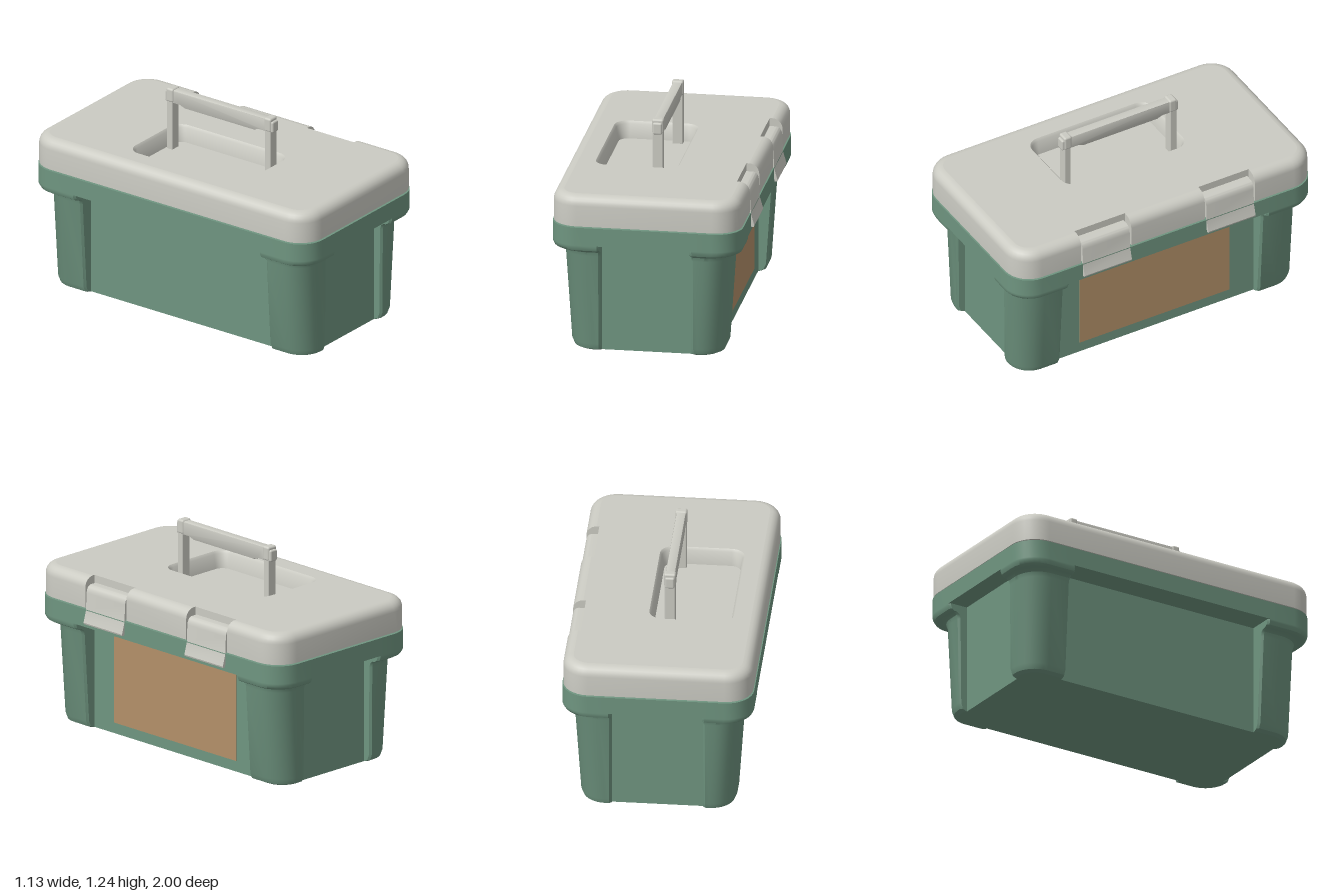
import * as THREE from 'three';
import { mergeGeometries, toCreasedNormals } from 'three/addons/utils/BufferGeometryUtils.js';
import { RoundedBoxGeometry } from 'three/addons/geometries/RoundedBoxGeometry.js';

const CX = -0.01; // centre line of the box without its latches

// Corner arc of a rounded rectangle, from the x side to the z side
function arc(hx, hz, r, n = 8) {
  return Array.from({ length: n + 1 }, (_, i) => {
    const a = (i / n) * Math.PI / 2;
    return [hx - r + r * Math.cos(a), hz - r + r * Math.sin(a)];
  });
}

// Mirror one quarter outline into a closed ring
function mirrorQuarter(q, cx) {
  const put = (sx, sz) => q.map(([x, z]) => [cx + sx * x, sz * z]);
  return [...put(1, 1), ...put(-1, 1).reverse(), ...put(-1, -1), ...put(1, -1).reverse()];
}

// Skin through rings of equal point count, each { y, pts }
function loft(rings) {
  const pos = [];
  for (let k = 0; k < rings.length - 1; k++) {
    const a = rings[k], b = rings[k + 1], n = a.pts.length;
    const at = (ring, i) => [ring.pts[i % n][0], ring.y, ring.pts[i % n][1]];
    for (let i = 0; i < n; i++) {
      const p = at(a, i), q = at(a, i + 1), r = at(b, i + 1), s = at(b, i);
      pos.push(...p, ...s, ...r, ...p, ...r, ...q);
    }
  }
  const g = new THREE.BufferGeometry();
  g.setAttribute('position', new THREE.Float32BufferAttribute(pos, 3));
  return toCreasedNormals(g, 0.6);
}

// Flat horizontal face, optionally with a hole
function cap({ y, pts }, up, hole) {
  const flat = (list) => list.map(([x, z]) => new THREE.Vector2(x, up ? -z : z));
  const shape = new THREE.Shape(flat(pts));
  if (hole) shape.holes.push(new THREE.Path(flat(hole)));
  const g = new THREE.ShapeGeometry(shape).toNonIndexed();
  g.deleteAttribute('uv');
  return g.rotateX(up ? -Math.PI / 2 : Math.PI / 2).translate(0, y, 0);
}

// Tub: corner pillars around four upright sunken panels, flaring into a rim
function bodyGeometry() {
  const ring = ([y, hx, hz, r, recessed = true]) => {
    const px = recessed ? 0.395 : hx, pz = recessed ? 0.88 : hz;
    const bx = Math.min(0.012, hx - px), bz = Math.min(0.012, hz - pz);
    return {
      y,
      pts: mirrorQuarter([
        [px, 0.66], [hx - bx, 0.66], [hx, 0.672],
        ...arc(hx, hz, r),
        [0.277, hz], [0.265, hz - bz], [0.265, pz],
      ], CX),
    };
  };
  const rings = [
    [0, 0.413, 0.893, 0.11], [0.012, 0.438, 0.918, 0.135], [0.045, 0.452, 0.93, 0.15],
    [0.58, 0.488, 0.935, 0.15], [0.605, 0.495, 0.942, 0.15], [0.618, 0.512, 0.958, 0.15],
    [0.62, 0.53, 0.975, 0.15], [0.63, 0.547, 0.992, 0.16], [0.65, 0.555, 1, 0.16],
    [0.662, 0.555, 1, 0.16], [0.662, 0.555, 1, 0.16, false], [0.77, 0.555, 1, 0.16, false],
  ].map(ring);
  return mergeGeometries([loft(rings), cap(rings[0], false), cap(rings.at(-1), true)]);
}

// Lid: rounded top edge, two latch notches on the +x side, sunken handle tray
function lidGeometry() {
  const ring = (y, d) => {
    const hx = 0.55 - d, hz = 0.995 - d, nx = 0.475;
    const corners = mirrorQuarter(arc(hx, hz, 0.155 - d), CX);
    const notch = [[hx, 0.245], [nx, 0.245], [nx, 0.58], [hx, 0.58]].map(([x, z]) => [CX + x, z]);
    return { y, pts: [...notch, ...corners, ...notch.map(([x, z]) => [x, -z]).reverse()] };
  };
  const rings = [ring(0.777, 0)];
  for (let i = 0; i <= 6; i++) {
    const a = (i / 6) * Math.PI / 2;
    rings.push(ring(0.9 + 0.06 * Math.sin(a), 0.06 * (1 - Math.cos(a))));
  }
  const tray = [[0.96, 0], [0.945, 0.012], [0.86, 0.025]].map(([y, d]) => ({
    y, pts: mirrorQuarter(arc(0.245 - d, 0.405 - d, 0.08 - d), -0.155),
  }));
  return mergeGeometries([
    loft(rings), cap(rings[0], false), cap(rings.at(-1), true, tray[0].pts),
    loft(tray), cap(tray[2], true),
  ]);
}

// Latch: curved plate hooked over the lid with a flared finger lip
function latchGeometry() {
  const s = new THREE.Shape();
  s.moveTo(0.466, 0.78);
  s.lineTo(0.466, 0.915);
  s.lineTo(0.505, 0.915);
  s.quadraticCurveTo(0.535, 0.912, 0.54, 0.87);
  s.lineTo(0.545, 0.765);
  s.lineTo(0.565, 0.695);
  s.lineTo(0.562, 0.686);
  s.lineTo(0.547, 0.686);
  s.lineTo(0.535, 0.78);
  const g = new THREE.ExtrudeGeometry(s, { depth: 0.315, bevelEnabled: false, curveSegments: 8 });
  return toCreasedNormals(g.translate(0, 0, -0.1575), 0.5);
}

// Grip: bar with a deeper middle, chamfered along its edges
function gripGeometry() {
  const s = new THREE.Shape([
    [-0.325, 1.16], [-0.28, 1.16], [-0.245, 1.147], [0.245, 1.147], [0.28, 1.16],
    [0.325, 1.16], [0.325, 1.225], [-0.325, 1.225],
  ].map(([u, y]) => new THREE.Vector2(u, y)));
  const g = new THREE.ExtrudeGeometry(s, {
    depth: 0.04, bevelSize: 0.008, bevelThickness: 0.008, bevelSegments: 2,
  });
  return toCreasedNormals(g.translate(0, 0, -0.02).rotateY(Math.PI / 2), 0.6);
}

export function createModel() {
  const model = new THREE.Group();
  model.name = 'toolbox';
  const green = new THREE.MeshStandardMaterial({ color: 0x6f9580 });
  const pale = new THREE.MeshStandardMaterial({ color: 0xcbcbc3 });
  const tan = new THREE.MeshStandardMaterial({ color: 0xb39069 });

  const add = (name, geometry, material, parent = model, x = 0, y = 0, z = 0) => {
    const mesh = new THREE.Mesh(geometry, material);
    mesh.name = name;
    mesh.position.set(x, y, z);
    parent.add(mesh);
    return mesh;
  };

  add('body', bodyGeometry(), green);
  add('lid', lidGeometry(), pale);
  add('sidePanel', new THREE.BoxGeometry(0.004, 0.53, 1), tan, model, 0.386, 0.33, 0);

  const latch = latchGeometry();
  for (const s of [1, -1]) add('latch', latch, pale, model, 0, 0, s * 0.4125);

  // Raised carrying handle standing in the tray
  const handle = new THREE.Group();
  handle.name = 'handle';
  handle.position.x = -0.0325;
  model.add(handle);
  add('grip', gripGeometry(), pale, handle);
  for (const s of [1, -1]) {
    add('handleLeg', new RoundedBoxGeometry(0.062, 0.37, 0.042, 2, 0.006), pale, handle, 0, 1.04, s * 0.352);
    add('handleKnuckle', new RoundedBoxGeometry(0.068, 0.085, 0.05, 3, 0.012), pale, handle, 0, 1.198, s * 0.35);
    add('handlePin', new RoundedBoxGeometry(0.054, 0.07, 0.03, 3, 0.01), pale, handle, 0, 1.187, s * 0.373);
  }
  return model;
}
